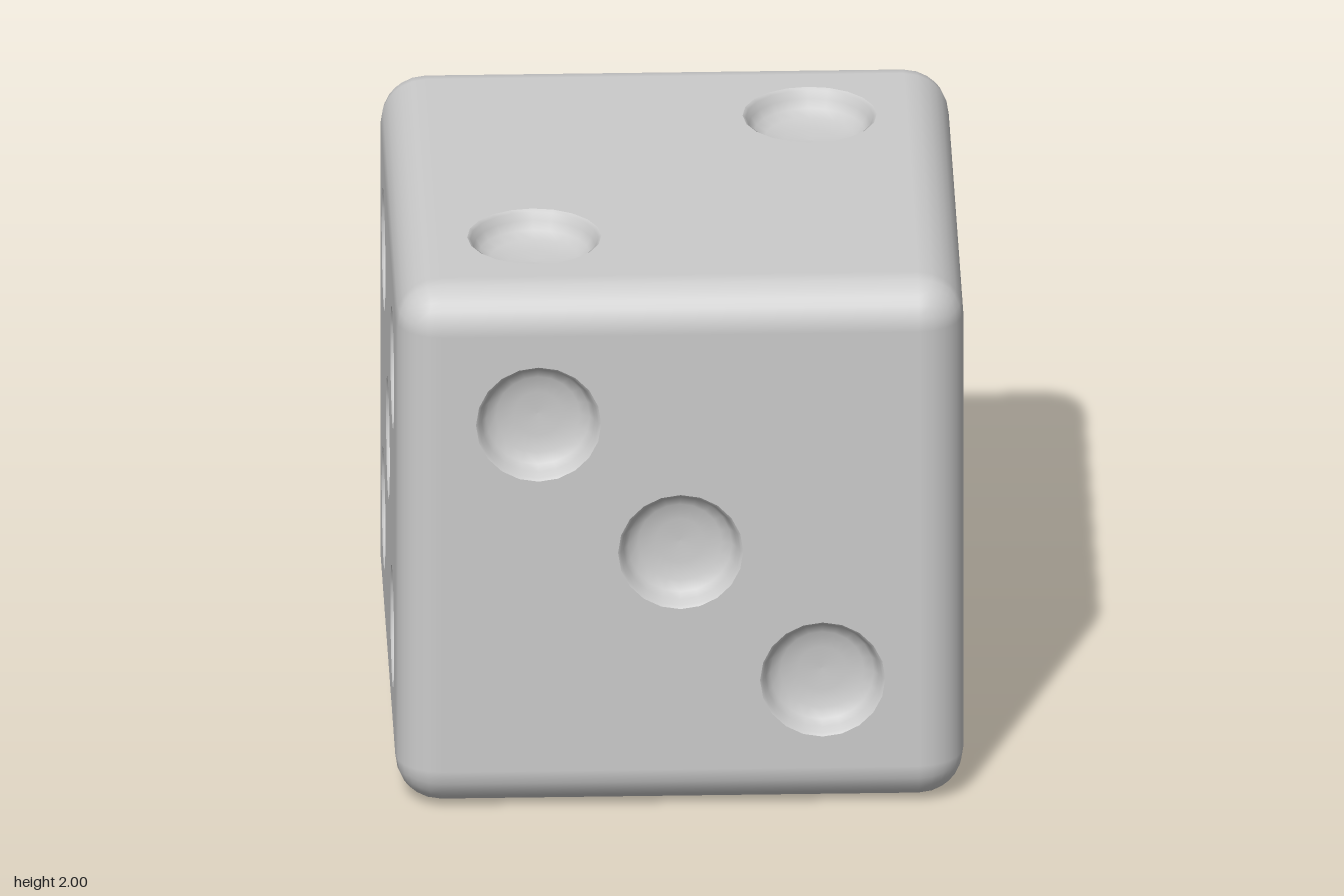
import * as THREE from 'three';
import { RoundedBoxGeometry } from 'three/addons/geometries/RoundedBoxGeometry.js';

const ROUND = 0.16; // edge rounding
const SIDES = 20; // sides of each pip
const material = new THREE.MeshStandardMaterial({ color: 0xcccccc });

// Pip positions per count, and each face's rotation and pip radius
const corners = [[-0.5, -0.5], [0.5, -0.5], [0.5, 0.5], [-0.5, 0.5]];
const faces = [
  { name: 'frontFace', rot: [0, 0], r: 0.21, pips: [[-0.5, 0.5], [0, 0], [0.5, -0.5]] },
  { name: 'backFace', rot: [0, Math.PI], r: 0.22, pips: [[0, 0]] },
  { name: 'leftFace', rot: [0, Math.PI / 2], r: 0.2, pips: [...corners, [-0.5, 0], [0.5, 0]] },
  { name: 'rightFace', rot: [0, -Math.PI / 2], r: 0.208, pips: [...corners, [0, 0]] },
  { name: 'topFace', rot: [-Math.PI / 2, 0], r: 0.225, pips: [[0.5, 0.5], [-0.5, -0.5]] },
  { name: 'bottomFace', rot: [Math.PI / 2, 0], r: 0.21, pips: corners },
];

// Rounded edges and corners: a rounded box without its six flat panels
function roundedFrame() {
  const box = new RoundedBoxGeometry(2, 2, 2, 3, ROUND);
  const src = box.index ? box.toNonIndexed() : box;
  const p = src.attributes.position, n = src.attributes.normal;
  const positions = [], normals = [];
  const a = new THREE.Vector3(), b = new THREE.Vector3(), c = new THREE.Vector3();
  for (let i = 0; i < p.count; i += 3) {
    a.fromBufferAttribute(n, i);
    b.fromBufferAttribute(n, i + 1);
    c.fromBufferAttribute(n, i + 2);
    if (a.dot(b) > 0.999 && a.dot(c) > 0.999) continue;
    for (let k = i; k < i + 3; k++) {
      positions.push(p.getX(k), p.getY(k), p.getZ(k));
      normals.push(n.getX(k), n.getY(k), n.getZ(k));
    }
  }
  const geometry = new THREE.BufferGeometry();
  geometry.setAttribute('position', new THREE.Float32BufferAttribute(positions, 3));
  geometry.setAttribute('normal', new THREE.Float32BufferAttribute(normals, 3));
  return geometry;
}

// Flat panel with a round hole for every pip
function panel(pips, radius) {
  const h = 1 - ROUND;
  const shape = new THREE.Shape([[-h, -h], [h, -h], [h, h], [-h, h]].map(([x, y]) => new THREE.Vector2(x, y)));
  for (const [x, y] of pips) {
    const ring = [];
    for (let i = 0; i < SIDES; i++) {
      const t = (-i / SIDES) * Math.PI * 2;
      ring.push(new THREE.Vector2(x + radius * Math.cos(t), y + radius * Math.sin(t)));
    }
    shape.holes.push(new THREE.Path(ring));
  }
  return new THREE.ShapeGeometry(shape);
}

// Shallow dish with a softened rim and steep wall, opening towards +z
function dish(radius) {
  const profile = [[1.05, 0], [1, -0.008], [0.95, -0.035], [0.87, -0.065], [0.7, -0.085], [0.4, -0.097], [0, -0.1]];
  const points = profile.map(([s, y]) => new THREE.Vector2(s * radius, y));
  return new THREE.LatheGeometry(points, SIDES).rotateX(Math.PI / 2);
}

export function createModel() {
  const model = new THREE.Group();
  model.name = 'die';
  const body = new THREE.Group();
  body.name = 'body';
  body.position.y = 1;
  model.add(body);

  const frame = new THREE.Mesh(roundedFrame(), material);
  frame.name = 'roundedEdges';
  body.add(frame);

  for (const { name, rot, r, pips } of faces) {
    const face = new THREE.Group();
    face.name = name;
    face.rotation.set(rot[0], rot[1], 0);

    const flat = new THREE.Mesh(panel(pips, r * 1.05), material);
    flat.name = 'panel';
    flat.position.z = 1;
    face.add(flat);

    const geometry = dish(r);
    for (const [x, y] of pips) {
      const pip = new THREE.Mesh(geometry, material);
      pip.name = 'pip';
      pip.position.set(x, y, 1);
      face.add(pip);
    }
    body.add(face);
  }
  return model;
}
